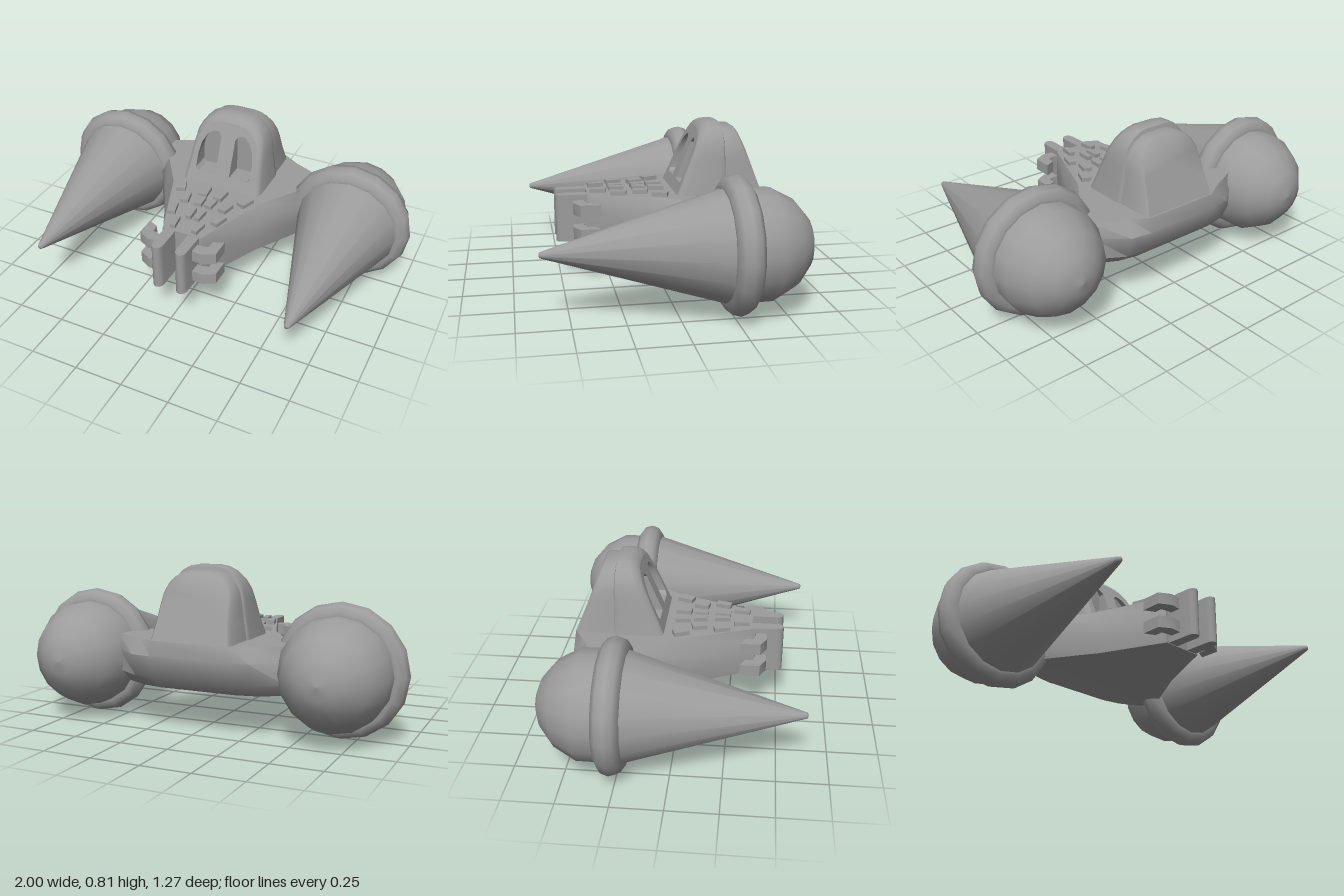
import * as THREE from 'three';
import { toCreasedNormals } from 'three/addons/utils/BufferGeometryUtils.js';

const material = new THREE.MeshStandardMaterial({ color: 0x9c9c9c });

function add(parent, name, geometry, crease = 0.6) {
  const mesh = new THREE.Mesh(crease ? toCreasedNormals(geometry, crease) : geometry, material);
  mesh.name = name;
  parent.add(mesh);
  return mesh;
}

const vectors = (points) => points.map(([x, y]) => new THREE.Vector2(x, y));
const shapeOf = (points) => new THREE.Shape(vectors(points));

// Skin over equal-length closed loops of [x, y, z], with fan caps
function loft(loops, capStart, capEnd) {
  const pos = [];
  const tri = (...corners) => corners.forEach((p) => pos.push(...p));
  const n = loops[0].length;
  for (let k = 0; k < loops.length - 1; k++) {
    for (let i = 0; i < n; i++) {
      const j = (i + 1) % n;
      const a = loops[k][i], b = loops[k][j], c = loops[k + 1][j], d = loops[k + 1][i];
      tri(a, d, c);
      tri(a, c, b);
    }
  }
  const cap = (loop, flip) => {
    const mid = [0, 1, 2].map((q) => loop.reduce((sum, p) => sum + p[q], 0) / n);
    loop.forEach((p, i) => {
      const next = loop[(i + 1) % n];
      if (flip) tri(mid, next, p);
      else tri(mid, p, next);
    });
  };
  if (capStart) cap(loops[0], false);
  if (capEnd) cap(loops[loops.length - 1], true);
  const g = new THREE.BufferGeometry();
  g.setAttribute('position', new THREE.Float32BufferAttribute(pos, 3));
  return g;
}

// Vertical extrusion of an [x, z] outline below yTop
function slab(points, yTop, height) {
  const g = new THREE.ExtrudeGeometry(shapeOf(points), { depth: height, bevelEnabled: false });
  return g.rotateX(Math.PI / 2).translate(0, yTop, 0);
}

// Half outline of [x, z] mirrored into a loop at height y
function hullLoop(y, half) {
  const right = half.map(([x, z]) => [x, y, z]);
  const left = half.map(([x, z]) => [-x, y, z]).reverse();
  return [...right, ...left];
}

// Cabin arch: half profile mirrored, from the base on +x over to -x
const BASE = 0.44;
const archHalf = [[0.228, BASE], [0.21, 0.55], [0.2, 0.64], [0.19, 0.7],
  [0.168, 0.747], [0.135, 0.782], [0.095, 0.803], [0.055, 0.81]];
function arch(kx, ky) {
  const right = archHalf.map(([x, y]) => [x * kx, BASE + (y - BASE) * ky]);
  return [...right, ...right.map(([x, y]) => [-x, y]).reverse()];
}
const cabinLoop = (kx, ky, z0, slope) =>
  arch(kx, ky).map(([x, y]) => [x, y, z0 + slope * (y - BASE)]);

function buildCabin() {
  const cabin = new THREE.Group();
  cabin.name = 'cabin';
  const rake = -0.41;
  const recessZ = -0.22;

  add(cabin, 'cabinShell', loft([
    cabinLoop(0.9, 0.9, -0.08, rake),
    cabinLoop(0.96, 0.97, -0.088, rake),
    cabinLoop(1, 1, -0.115, rake),
    cabinLoop(1, 1, -0.31, 0),
    cabinLoop(0.99, 0.985, -0.33, 0),
    cabinLoop(0.96, 0.935, -0.335, 0),
    cabinLoop(0.95, 0.93, -0.51, 0.34),
    cabinLoop(0.89, 0.91, -0.532, 0.37),
  ], false, true), 0.85);

  // Raked front panel with two window openings over an upright recess
  const panel = shapeOf(arch(0.9, 0.9));
  const windowPoints = [[0.04, 0.51], [0.04, 0.7], [0.06, 0.724], [0.09, 0.722], [0.12, 0.7],
    [0.145, 0.655], [0.156, 0.6], [0.156, 0.525], [0.14, 0.508]];
  for (const s of [1, -1]) {
    panel.holes.push(new THREE.Path(vectors(windowPoints.map(([x, y]) => [x * s, y]))));
  }
  const front = new THREE.ExtrudeGeometry(panel, { depth: 1, bevelEnabled: false });
  const p = front.attributes.position;
  for (let i = 0; i < p.count; i++) {
    p.setZ(i, p.getZ(i) > 0.5 ? -0.08 + rake * (p.getY(i) - BASE) : recessZ);
  }
  add(cabin, 'windowFrame', front);
  const back = new THREE.ShapeGeometry(shapeOf(arch(0.9, 0.9)));
  add(cabin, 'windowRecess', back.translate(0, 0, recessZ + 0.004));
  return cabin;
}

function buildPod(side) {
  const pod = new THREE.Group();
  pod.name = side > 0 ? 'leftPod' : 'rightPod';
  const spin = (profile) => new THREE.LatheGeometry(vectors(profile), 16).rotateX(Math.PI / 2);
  add(pod, 'noseCone', spin([[0.268, -0.21], [0.016, 0.622], [0.012, 0.632], [0, 0.635]]), 0);
  add(pod, 'ring', new THREE.TorusGeometry(0.263, 0.066, 10, 16).translate(0, 0, -0.265), 0);
  add(pod, 'rearDome', spin([[0, -0.635], [0.065, -0.623], [0.125, -0.6], [0.208, -0.53],
    [0.267, -0.42], [0.268, -0.3]]), 0);
  pod.position.set(0.67 * side, 0.33, 0);
  return pod;
}

export function createModel() {
  const model = new THREE.Group();
  model.name = 'twinPodCraft';

  // Wedge hull with rounded rear and sloping shoulders
  add(model, 'hull', loft([
    hullLoop(0.205, [[0.2, -0.44], [0.3, -0.42], [0.42, -0.36], [0.42, -0.22], [0.26, 0.04], [0.11, 0.36]]),
    hullLoop(0.27, [[0.2, -0.52], [0.31, -0.5], [0.45, -0.42], [0.43, -0.22], [0.27, 0.04], [0.11, 0.36]]),
    hullLoop(0.38, [[0.2, -0.547], [0.31, -0.53], [0.45, -0.42], [0.43, -0.23], [0.27, 0.03], [0.11, 0.36]]),
    hullLoop(0.455, [[0.2, -0.535], [0.29, -0.48], [0.45, -0.41], [0.41, -0.27], [0.25, -0.03], [0.105, 0.36]]),
  ], true, true), 0.8);
  model.add(buildCabin());

  // Deck studs: [x, z, width, length], slanted along the hull sides
  const studs = [[0.045, 0, 0.045, 0.08], [0.185, 0, 0.05, 0.08], [0.115, 0.09, 0.045, 0.075],
    [0.03, 0.09, 0.04, 0.07], [0.025, 0.205, 0.03, 0.08], [0.13, 0.205, 0.04, 0.08],
    [0.065, 0.305, 0.03, 0.08]];

  for (const s of [1, -1]) {
    model.add(buildPod(s));

    for (const [x, z, w, l] of studs) {
      const stud = add(model, 'deckStud', new THREE.BoxGeometry(w, 0.04, l));
      stud.position.set(x * s, 0.456, z);
      stud.rotation.y = -s * x * 2;
    }

    // Front prong with a rounded tip
    const prong = [[0.036, 0.28], [0.098, 0.28], [0.092, 0.49]];
    for (let i = 1; i < 6; i++) {
      const a = (i / 6) * Math.PI;
      prong.push([0.064 + 0.028 * Math.cos(a), 0.49 + 0.032 * Math.sin(a)]);
    }
    prong.push([0.036, 0.49]);
    add(model, 'frontProng', slab(prong.map(([x, z]) => [x * s, z]), 0.453, 0.245));

    // Hooked claws, one above the other
    const claw = [[0.08, 0.37], [0.11, 0.38], [0.155, 0.37], [0.155, 0.33],
      [0.21, 0.303], [0.21, 0.405], [0.15, 0.438], [0.08, 0.432]];
    for (const top of [0.425, 0.3]) {
      add(model, 'sideClaw', slab(claw.map(([x, z]) => [x * s, z]), top, 0.06));
    }
  }
  return model;
}
